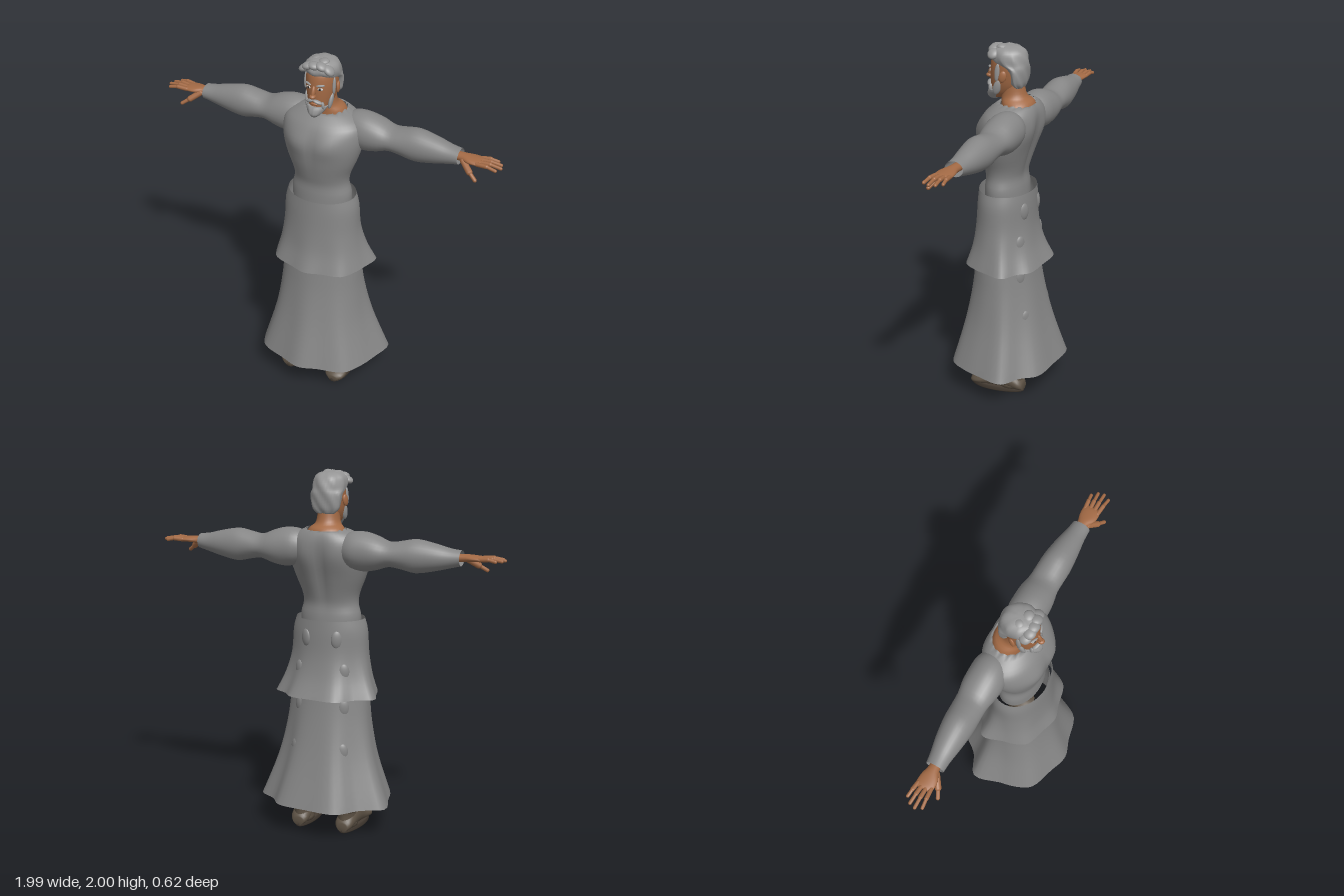
import * as THREE from 'three';

const V = (x, y, z) => new THREE.Vector3(x, y, z);
const flat = (name, color, side = THREE.FrontSide) =>
  Object.assign(new THREE.MeshStandardMaterial({ color, side }), { name });

// Smooth surface through closed rings of points, with optional end caps
function loft(rings, capStart = true, capEnd = true) {
  const n = rings[0].length, pos = [], idx = [];
  rings.forEach(r => r.forEach(p => pos.push(p.x, p.y, p.z)));
  for (let i = 0; i < rings.length - 1; i++) for (let j = 0; j < n; j++) {
    const a = i * n + j, b = i * n + (j + 1) % n;
    idx.push(a, b, b + n, a, b + n, a + n);
  }
  const cap = (row, flip) => {
    const c = rings[row].reduce((s, p) => s.add(p), V(0, 0, 0)).divideScalar(n);
    const k = pos.length / 3;
    pos.push(c.x, c.y, c.z);
    for (let j = 0; j < n; j++) {
      const a = row * n + j, b = row * n + (j + 1) % n;
      idx.push(k, flip ? b : a, flip ? a : b);
    }
  };
  if (capStart) cap(0, true);
  if (capEnd) cap(rings.length - 1, false);
  const g = new THREE.BufferGeometry();
  g.setAttribute('position', new THREE.Float32BufferAttribute(pos, 3));
  g.setIndex(idx);
  g.computeVertexNormals();
  return g;
}

// Smoothly resample a table of section values
function refine(rows, steps) {
  const out = [], last = rows.length - 1;
  for (let k = 0; k <= last * steps; k++) {
    const i = Math.min(Math.floor(k / steps), last - 1), t = k / steps - i;
    const [p, a, b, q] = [rows[Math.max(i - 1, 0)], rows[i], rows[i + 1], rows[Math.min(i + 2, last)]];
    out.push(a.map((v, c) => v + 0.5 * t * (b[c] - p[c] + t * (2 * p[c] - 5 * v + 4 * b[c] - q[c]
      + t * (3 * (v - b[c]) + q[c] - p[c])))));
  }
  return out;
}
const around = (n, f) => Array.from({ length: n }, (_, j) => f(j / n * Math.PI * 2, j));

// Upright body: rows of [y, half width, front z, back z]
const upright = (rows, { n = 32, steps = 3, cx = 0, shape, caps = [true, true] } = {}) =>
  loft(refine(rows, steps).map(([y, rx, zf, zb], i, all) => around(n, (a, j) => {
    const p = V(cx + rx * Math.sin(a), y, (zf + zb) / 2 + (zf - zb) / 2 * Math.cos(a));
    if (shape) shape(p, a, i === all.length - 1, j);
    return p;
  })), ...caps);

// Sideways limb: rows of [x, top y, bottom y, front z, back z]
const sideways = (rows, n = 24, caps = [true, true]) =>
  loft(refine(rows, 3).map(([x, yt, yb, zf, zb]) => around(n, a =>
    V(x, (yt + yb) / 2 + (yt - yb) / 2 * Math.cos(a), (zf + zb) / 2 + (zf - zb) / 2 * Math.sin(a)))), ...caps);

const ball = (r, p, rot = [0, 0, 0]) => new THREE.SphereGeometry(1, 20, 14).scale(...r)
  .rotateX(rot[0]).rotateY(rot[1]).rotateZ(rot[2]).translate(...p);

function rod(a, b, r) {
  const d = V(...b).sub(V(...a)), len = d.length();
  const g = new THREE.CapsuleGeometry(r, len, 5, 10);
  g.applyQuaternion(new THREE.Quaternion().setFromUnitVectors(V(0, 1, 0), d.normalize()));
  return g.translate((a[0] + b[0]) / 2, (a[1] + b[1]) / 2, (a[2] + b[2]) / 2);
}

function mirrored(geo) {
  const g = geo.clone().scale(-1, 1, 1), ix = g.index;
  for (let i = 0; i < ix.count; i += 3) {
    const t = ix.getX(i);
    ix.setX(i, ix.getX(i + 1));
    ix.setX(i + 1, t);
  }
  return g;
}

export function createModel() {
  const root = new THREE.Group();
  const cloth = flat('cloth', 0x868686, THREE.DoubleSide), skin = flat('skin', 0xa36a45);
  const hair = flat('hair', 0x959595), leather = flat('leather', 0x5c5144);
  const sole = flat('sole', 0x453c33), white = flat('eyeWhite', 0xcfcac4), dark = flat('iris', 0x2c241f);
  const add = (name, geo, mat) => {
    const m = new THREE.Mesh(geo, mat);
    m.name = name;
    root.add(m);
  };
  const pair = (name, geo, mat) => {
    add(name + 'Left', geo, mat);
    add(name + 'Right', mirrored(geo), mat);
  };
  const bump = (x, y, cx, cy, sx, sy) => Math.exp(-(((x - cx) / sx) ** 2) - ((y - cy) / sy) ** 2);

  // Tunic body with chest and back muscles and a ragged neckline
  add('tunic', upright([
    [1.16, .172, .11, -.115], [1.22, .172, .108, -.112], [1.28, .157, .105, -.106], [1.34, .165, .118, -.12],
    [1.42, .197, .135, -.145], [1.5, .222, .142, -.168], [1.57, .232, .132, -.18], [1.63, .222, .105, -.182],
    [1.67, .17, .065, -.172], [1.695, .112, .03, -.155],
  ], {
    n: 48, caps: [false, false], shape: (p, a, top, j) => {
      const ax = Math.abs(p.x);
      if (Math.cos(a) > 0) p.z += .016 * bump(ax, p.y, .09, 1.54, .07, .06) - .006 * bump(ax, p.y, 0, 1.5, .02, .12);
      else p.z += -.014 * bump(ax, p.y, .1, 1.56, .06, .08) + .018 * bump(ax, p.y, 0, 1.46, .03, .16);
      if (top) p.y += (j % 3 ? .004 : -.008) - .016 * Math.cos(a) ** 2;
    },
  }), cloth);

  // Sleeves, open at the cuff
  pair('sleeve', sideways([
    [.1, 1.665, 1.52, -.01, -.15], [.16, 1.688, 1.49, .012, -.178], [.23, 1.69, 1.478, .02, -.182],
    [.3, 1.672, 1.49, .015, -.18], [.37, 1.645, 1.512, .002, -.168], [.44, 1.655, 1.503, .002, -.165],
    [.52, 1.668, 1.488, .002, -.162], [.62, 1.65, 1.505, -.008, -.148], [.7, 1.63, 1.525, -.018, -.13],
    [.76, 1.622, 1.54, -.02, -.12],
  ], 28, [true, false]), cloth);

  // Two skirt tiers blending from an oval waist to a folded hem
  const hem = new THREE.CatmullRomCurve3([
    [0, .3], [.11, .265], [.25, .225], [.31, .13], [.345, .02], [.37, -.13], [.27, -.2], [.2, -.28], [.03, -.305],
    [-.15, -.31], [-.25, -.2], [-.37, -.13], [-.335, .03], [-.31, .13], [-.26, .215], [-.12, .265],
  ].map(([x, z]) => V(x / .37, 0, z / .305)), true);
  const skirt = (rows) => loft(refine(rows, 4).map(([y, rx, zf, zb, fold]) => around(64, a => {
    const h = hem.getPoint(a / (Math.PI * 2));
    return V(rx * THREE.MathUtils.lerp(Math.sin(a), h.x, fold), y,
      (zf + zb) / 2 + (zf - zb) / 2 * THREE.MathUtils.lerp(Math.cos(a), h.z, fold));
  })).reverse(), false, false);
  add('upperSkirt', skirt([
    [1.2, .193, .145, -.155, 0], [1.13, .212, .15, -.158, .05], [1, .222, .16, -.162, .2],
    [.88, .25, .18, -.185, .6], [.775, .29, .218, -.228, 1],
  ]), cloth);
  add('lowerSkirt', skirt([
    [1.1, .19, .13, -.14, 0], [.78, .224, .165, -.172, .15], [.6, .244, .19, -.198, .35],
    [.4, .287, .236, -.24, .7], [.165, .37, .305, -.305, 1],
  ]), cloth);

  // Bulges at the back of the skirts
  [[.09, 1.1, -.138], [.13, .92, -.135], [.13, .72, -.137], [.14, .48, -.176]].forEach(p =>
    pair('skirtBulge', ball([.032, .05, .016], p, [0, Math.PI - .5, 0]), cloth));

  // Hands with four fingers and a thumb
  pair('palm', sideways([
    [.7, 1.602, 1.558, -.045, -.1], [.77, 1.605, 1.562, -.04, -.1], [.82, 1.602, 1.568, -.018, -.112],
    [.87, 1.597, 1.57, -.018, -.114], [.885, 1.59, 1.576, -.03, -.105],
  ], 18), skin);
  [[-.029, -.018, .968], [-.053, -.052, .985], [-.077, -.084, .976], [-.102, -.112, .95]].forEach(([z0, z1, tip]) => {
    const mid = [(.87 + tip) / 2, 1.588, (z0 + z1) / 2];
    pair('fingerBase', rod([.865, 1.584, z0], mid, .0115), skin);
    pair('fingerTip', rod(mid, [tip, 1.58, z1], .009), skin);
  });
  pair('thumbBase', rod([.785, 1.575, -.045], [.835, 1.54, -.01], .017), skin);
  pair('thumbTip', rod([.835, 1.54, -.01], [.875, 1.513, .01], .0105), skin);

  // Neck and head
  add('neck', upright([
    [1.63, .12, .02, -.16], [1.69, .1, .022, -.15], [1.72, .07, .028, -.115], [1.76, .061, .03, -.1], [1.83, .06, .03, -.09],
  ]), skin);
  add('head', upright([
    [1.705, .025, .075, .02], [1.735, .052, .088, -.045], [1.78, .07, .09, -.085], [1.83, .079, .092, -.1],
    [1.88, .083, .09, -.105], [1.93, .078, .08, -.1], [1.97, .05, .05, -.075],
  ]), skin);
  add('noseBridge', ball([.011, .034, .014], [0, 1.838, .096], [-.3, 0, 0]), skin);
  add('noseTip', ball([.017, .012, .019], [0, 1.815, .104]), skin);
  pair('ear', ball([.01, .032, .02], [.087, 1.842, -.012], [-.2, .3, 0]), skin);

  // Eyes and brows
  pair('eye', ball([.015, .008, .004], [.034, 1.855, .084], [0, .35, 0]), white);
  pair('iris', ball([.006, .007, .003], [.033, 1.855, .087], [0, .35, 0]), dark);
  pair('brow', ball([.023, .006, .007], [.036, 1.876, .085], [0, .4, .1]), hair);

  // Hair cap with swept locks
  add('hair', upright([
    [1.775, .05, -.06, -.098], [1.8, .076, -.04, -.109], [1.84, .085, -.035, -.115], [1.88, .089, -.01, -.118],
    [1.905, .091, .06, -.117], [1.935, .092, .088, -.112], [1.965, .084, .08, -.098], [1.985, .06, .06, -.07],
    [1.993, .02, .02, -.03],
  ], { n: 40, shape: (p, a) => { p.x *= 1 + .025 * Math.sin(9 * a); p.z += .003 * Math.sin(7 * a + p.y * 60); } }), hair);
  [[-.07, 1.945, .055, .4], [-.045, 1.965, .065, .2], [-.01, 1.972, .066, -.1], [.03, 1.972, .06, -.4],
    [.066, 1.955, .05, -.7], [.02, 1.98, .02, .2], [-.04, 1.972, .0, .5]].forEach(([x, y, z, tilt]) =>
    add('hairLock', ball([.034, .02, .032], [x, y, z], [0, 0, tilt]), hair));

  // Beard, sideburns and moustache
  add('beard', upright([
    [1.693, .015, .1, .06], [1.71, .034, .112, .04], [1.735, .053, .108, .005], [1.752, .06, .098, .0],
  ], { steps: 4, shape: (p, a) => { p.z += .002 * Math.sin(11 * a); } }), hair);
  pair('jawBeard', ball([.012, .045, .022], [.067, 1.775, .028], [-.35, .2, -.15]), hair);
  pair('sideburn', ball([.008, .048, .014], [.082, 1.86, .022], [-.1, .1, 0]), hair);
  pair('moustache', ball([.027, .009, .013], [.023, 1.783, .092], [0, .35, -.4]), hair);
  pair('moustacheEnd', ball([.008, .02, .012], [.046, 1.762, .077], [0, .4, .1]), hair);
  add('lip', ball([.02, .006, .008], [0, 1.766, .088]), skin);

  // Boots
  pair('bootShaft', upright([
    [.03, .056, -.005, -.162], [.09, .05, -.005, -.155], [.16, .053, -.018, -.163], [.28, .062, -.01, -.165], [.42, .068, 0, -.165],
  ], { n: 24, cx: .133 }), leather);
  const foot = refine([
    [-.165, .03, .06], [-.14, .05, .09], [-.07, .055, .13], [0, .055, .125], [.05, .06, .092], [.1, .064, .072],
    [.135, .052, .058], [.152, .026, .042],
  ], 3).map(([z, w, h]) => around(24, a => V(.138 + .04 * (z + .05) + w * Math.cos(a), .012 + (h - .012) * (.5 + .5 * Math.sin(a)), z)));
  pair('bootFoot', loft(foot), leather);
  const soleRing = (y, s) => around(28, a => V(.138 + .06 * s * Math.sin(a) * (1 + .16 * Math.cos(a)) + .006 * Math.cos(a), y,
    -.006 + .16 * s * Math.cos(a)));
  pair('bootSole', loft([soleRing(0, .94), soleRing(.006, 1), soleRing(.024, 1), soleRing(.03, .95)]), sole);
  pair('bootStrap', new THREE.TorusGeometry(.062, .008, 8, 28).rotateX(Math.PI / 2).scale(.86, 1, 1.28)
    .rotateX(.12).translate(.133, .118, -.082), leather);

  return root;
}
